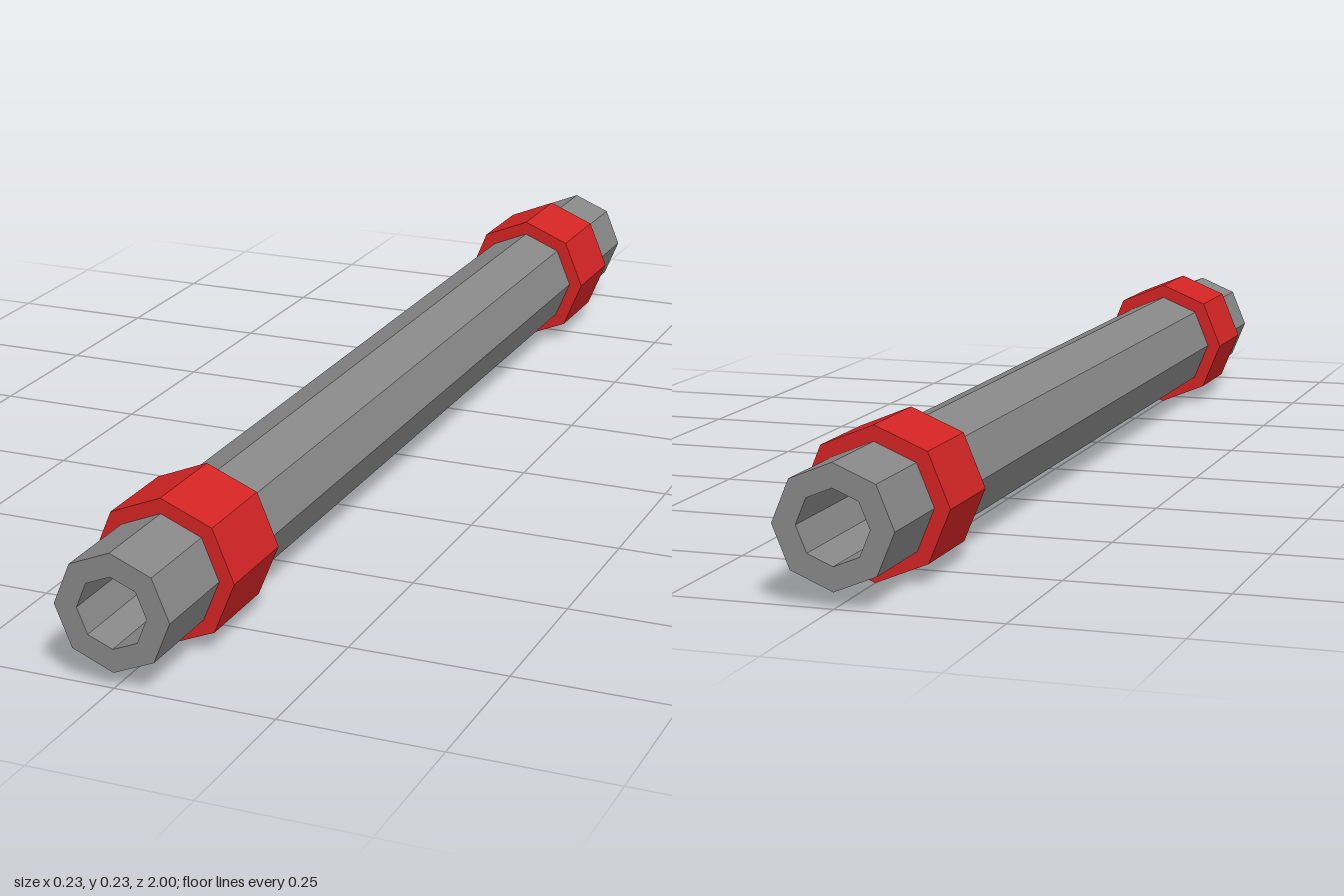
import * as THREE from 'three';

const SIDES = 8;
const AXIS_Y = 0.116;

// Octagon with a corner pointing straight up
function octagon(radius, target) {
  const points = [];
  for (let i = 0; i < SIDES; i++) {
    const a = (i / SIDES) * Math.PI * 2;
    points.push(new THREE.Vector2(Math.cos(a) * radius, Math.sin(a) * radius));
  }
  return target.setFromPoints(points).closePath();
}

// Hollow octagonal prism centred along z
function ring(name, outer, inner, length, z, material) {
  const shape = octagon(outer, new THREE.Shape());
  shape.holes.push(octagon(inner, new THREE.Path()));
  const geometry = new THREE.ExtrudeGeometry(shape, { depth: length, bevelEnabled: false });
  geometry.translate(0, 0, -length / 2);
  const mesh = new THREE.Mesh(geometry, material);
  mesh.name = name;
  mesh.position.set(0, AXIS_Y, z);
  return mesh;
}

export function createModel() {
  const group = new THREE.Group();
  group.name = 'pipe';

  const greyMetal = new THREE.MeshStandardMaterial({ color: 0x888888, flatShading: true });
  greyMetal.name = 'grey metal';
  const redPaint = new THREE.MeshStandardMaterial({ color: 0xd42424, flatShading: true });
  redPaint.name = 'red paint';

  // Long hollow tube
  group.add(ring('tube', 0.091, 0.055, 2, 0, greyMetal));

  // A collar near each end, its bore sunk slightly into the tube wall
  for (const [name, side] of [['frontCollar', 1], ['backCollar', -1]]) {
    group.add(ring(name, 0.115, 0.088, 0.15, side * 0.77, redPaint));
  }
  return group;
}
